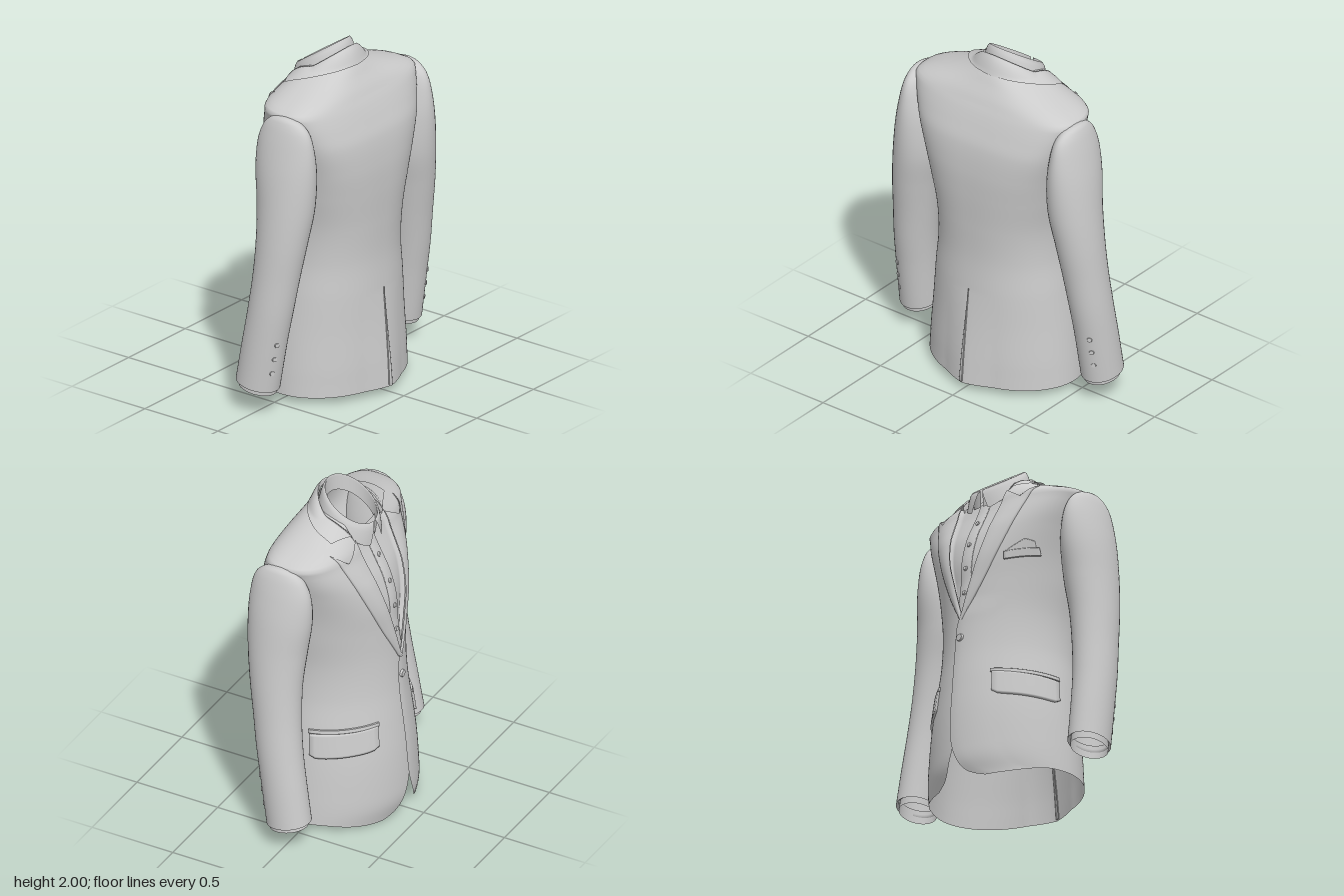
import * as THREE from 'three';
import { mergeVertices } from 'three/addons/utils/BufferGeometryUtils.js';

const cloth = new THREE.MeshStandardMaterial({ color: 0xcccccc, roughness: 0.9, side: THREE.DoubleSide });
const clamp = THREE.MathUtils.clamp;

// Smooth lookup in a table of [y, a, b, ...] rows
function sample(table, y) {
  let i = 0;
  while (i < table.length - 2 && y > table[i + 1][0]) i++;
  const p = table[i], q = table[i + 1], h = q[0] - p[0];
  const o = table[Math.max(i - 1, 0)], r = table[Math.min(i + 2, table.length - 1)];
  const s = clamp((y - p[0]) / h, 0, 1), s2 = s * s, s3 = s2 * s;
  return p.slice(1).map((a, k) => {
    const b = q[k + 1];
    const m0 = (b - o[k + 1]) / (q[0] - o[0]) * h, m1 = (r[k + 1] - a) / (r[0] - p[0]) * h;
    return (2 * s3 - 3 * s2 + 1) * a + (s3 - 2 * s2 + s) * m0 + (3 * s2 - 2 * s3) * b + (s3 - s2) * m1;
  });
}

// Surface from a rule f(u, v) -> [x, y, z]
function grid(nu, nv, f) {
  const pos = [], idx = [], w = nu + 1;
  for (let j = 0; j <= nv; j++) for (let i = 0; i <= nu; i++) pos.push(...f(i / nu, j / nv));
  for (let j = 0; j < nv; j++) for (let i = 0; i < nu; i++) {
    const a = j * w + i;
    idx.push(a, a + w, a + 1, a + 1, a + w, a + w + 1);
  }
  let g = new THREE.BufferGeometry();
  g.setAttribute('position', new THREE.Float32BufferAttribute(pos, 3));
  g.setIndex(idx);
  g = mergeVertices(g, 1e-4);
  g.computeVertexNormals();
  return g;
}

// Body sections: y, half width, back z, front z, z of widest point, front and back roundness
const BODY = [
  [0, 0.465, 0.385, -0.38, 0.02, 1.85, 1.95], [0.1, 0.458, 0.383, -0.408, 0.02, 1.85, 1.95],
  [0.2, 0.45, 0.38, -0.412, 0.02, 1.85, 1.97], [0.4, 0.43, 0.37, -0.402, 0.02, 1.85, 2.0],
  [0.6, 0.405, 0.36, -0.382, 0.03, 1.83, 2.1], [0.8, 0.377, 0.35, -0.36, 0.04, 1.8, 2.2],
  [1.0, 0.375, 0.355, -0.348, 0.05, 1.8, 2.35], [1.2, 0.405, 0.363, -0.345, 0.06, 1.8, 2.6],
  [1.35, 0.432, 0.362, -0.338, 0.07, 1.9, 2.9], [1.5, 0.47, 0.345, -0.295, 0.08, 2.2, 3.2],
  [1.6, 0.5, 0.312, -0.245, 0.08, 2.5, 3.3], [1.68, 0.524, 0.28, -0.205, 0.08, 2.6, 3.2],
  [1.72, 0.53, 0.26, -0.19, 0.08, 2.6, 3.0], [1.755, 0.46, 0.243, -0.175, 0.07, 2.4, 2.7],
  [1.79, 0.36, 0.222, -0.16, 0.05, 2.2, 2.5], [1.82, 0.28, 0.203, -0.145, 0.03, 2.1, 2.4],
  [1.85, 0.21, 0.186, -0.12, 0.01, 2.1, 2.3], [1.88, 0.15, 0.165, -0.07, 0, 2.1, 2.2],
];
// Front edges: y, x of +x panel, x of -x panel (which overlaps)
const EDGES = [
  [0, 0.17, -0.17], [0.03, 0.1, -0.09], [0.1, 0.05, -0.03], [0.25, 0, 0.02], [0.5, -0.02, 0.03],
  [0.93, -0.02, 0.03], [1.04, 0.01, -0.01], [1.2, 0.06, -0.06], [1.4, 0.12, -0.12],
  [1.6, 0.155, -0.155], [1.8, 0.165, -0.165], [1.88, 0.14, -0.14],
];

function surf(t, y, off = 0) {
  const [hw, zb, zf, zc, nf, nb] = sample(BODY, y);
  const c = Math.cos(t), s = Math.sin(t), e = 2 / (s < 0 ? nf : nb);
  const x = hw * Math.sign(c) * Math.abs(c) ** e;
  let z = zc + (s < 0 ? zf - zc : zb - zc) * Math.abs(s) ** e;
  // slight ridge along the back vent
  if (s > 0) z += 0.037 * Math.max(0, 1 - Math.abs(x) / 0.16) * clamp(1 - y / 0.6, 0, 1);
  return [x + off * c, y, z + off * s];
}
function frontZ(x, y) {
  const [hw, , zf, zc, nf] = sample(BODY, y);
  return zc - (zc - zf) * Math.max(0, 1 - Math.abs(x / hw) ** nf) ** (1 / nf);
}
function frontAngle(x, y) {
  const [hw, , , , nf] = sample(BODY, y);
  return -Math.acos(clamp(Math.sign(x) * Math.abs(x / hw) ** (nf / 2), -1, 1));
}
// Height of the shoulder surface above (x, z)
function shoulderY(x, z) {
  let lo = 1.4, hi = 1.88;
  for (let k = 0; k < 25; k++) {
    const y = (lo + hi) / 2, [hw, zb, zf, zc, nf, nb] = sample(BODY, y), n = z < zc ? nf : nb;
    const inside = Math.abs(x / hw) ** n + Math.abs((z - zc) / (z < zc ? zf - zc : zb - zc)) ** n < 1;
    if (inside) lo = y; else hi = y;
  }
  return lo;
}
// Raised panel with closed rim; f(u, v) -> [angle, y]
function panel(f, off, n = 14) {
  return grid(n, n, (u, v) => {
    const rim = u === 0 || u === 1 || v === 0 || v === 1;
    const [t, y] = f(clamp((u * n - 1) / (n - 2), 0, 1), clamp((v * n - 1) / (n - 2), 0, 1));
    return surf(t, y, rim ? -0.008 : off);
  });
}

// Sleeve sections: y, inner x, outer x, front z, back z
const SLEEVE = [
  [0.16, 0.515, 0.738, -0.14, 0.112], [0.4, 0.505, 0.73, -0.105, 0.152], [0.6, 0.49, 0.72, -0.075, 0.187],
  [0.8, 0.465, 0.705, -0.055, 0.217], [1.0, 0.435, 0.69, -0.05, 0.25], [1.2, 0.4, 0.67, -0.065, 0.278],
  [1.4, 0.4, 0.645, -0.09, 0.287], [1.55, 0.425, 0.615, -0.085, 0.275], [1.65, 0.455, 0.588, -0.05, 0.246],
  [1.7, 0.485, 0.568, 0, 0.195], [1.715, 0.505, 0.556, 0.045, 0.15], [1.722, 0.535, 0.535, 0.1, 0.1],
];
function sleevePoint(a, y, scale, drop = 0) {
  const [xi, xo, zf, zb] = sample(SLEEVE, y);
  const x = (xi + xo) / 2 + scale * (xo - xi) / 2 * Math.cos(a);
  const z = (zf + zb) / 2 + scale * (zb - zf) / 2 * Math.sin(a);
  return [x, y - drop - 0.17 * z * clamp(1 - (y - 0.16) / 0.3, 0, 1), z];
}

export function createModel() {
  const model = new THREE.Group();
  const add = (name, geo, mirror = false) => {
    const m = new THREE.Mesh(geo, cloth);
    m.name = name;
    if (mirror) m.scale.x = -1;
    model.add(m);
    return m;
  };
  const button = (name, r, p, dir) => {
    const m = add(name, new THREE.CylinderGeometry(r * 0.8, r, r * 0.7, 16));
    m.position.set(...p);
    m.quaternion.setFromUnitVectors(new THREE.Vector3(0, 1, 0), new THREE.Vector3(...dir).normalize());
  };

  // Jacket body, one sheet from front edge round the back to front edge
  add('jacketBody', grid(120, 110, (u, v) => {
    const y0 = 1.88 * v, [ea, eb] = sample(EDGES, y0);
    const ta = frontAngle(ea, y0), tb = frontAngle(eb, y0) + 2 * Math.PI;
    const t = ta + (tb - ta) * u;
    const y = y0 + 0.042 * THREE.MathUtils.smoothstep(Math.sin(t), -1, -0.3) * clamp(1 - y0 / 0.3, 0, 1);
    return surf(t, y, 0.01 * clamp((u - 0.9) / 0.08, 0, 1) * clamp((1.1 - y) / 0.1, 0, 1));
  }));

  // Peak lapels
  const outer = new THREE.CatmullRomCurve3([[0.01, 0.98], [0.13, 1.2], [0.25, 1.47], [0.35, 1.755]]
    .map(([x, y]) => new THREE.Vector3(x, y, 0)));
  const lapel = grid(18, 50, (u, v) => {
    const w = Math.min(u * 18 / 17, 1), o = outer.getPoint(v);
    const yi = 0.98 + 0.79 * v, xi = Math.max(sample(EDGES, yi)[0], -0.01) - 0.004;
    const x = xi + (o.x - xi) * w;
    const notch = 0.07 * v ** 14 * clamp(w < 0.65 ? w / 0.65 : (1 - w) / 0.35, 0, 1);
    const y = yi + (o.y - yi) * w - notch;
    const lift = u === 1 ? -0.002 : 0.008 + 0.008 * Math.sin(Math.PI * w);
    return [x, y, frontZ(x, y) - lift];
  });

  // Jacket collar: stand, fold and fall lines mirrored about the back
  const whole = pts => new THREE.CatmullRomCurve3([...pts.slice(1).reverse().map(([x, y, z]) => [-x, y, z]), ...pts]
    .map(p => new THREE.Vector3(...p)));
  const fold = whole([[0, 1.97, 0.13], [0.1, 1.945, 0.1], [0.172, 1.885, 0.02], [0.185, 1.83, -0.07], [0.17, 1.77, -0.15]]);
  const fall = whole([[0, 1.868, 0.18], [0.12, 1.858, 0.155], [0.22, 1.83, 0.085], [0.28, 1.79, 0], [0.298, 1.745, -0.09]]);
  add('jacketCollar', grid(64, 12, (u, v) => {
    const a = fold.getPoint(u), b = fall.getPoint(u), s = (v * 12 - 3) / 9;
    if (s < 0) return [a.x * (1 + 0.08 * s), a.y + 0.09 * s, a.z * (1 + 0.08 * s)];
    const p = a.clone().lerp(b, s), bulge = 0.016 * Math.sin(Math.PI * s);
    return [p.x, Math.max(p.y + bulge, shoulderY(p.x, p.z) + 0.012), p.z];
  }));

  // Shirt front, placket and buttons
  const shirtZ = (x, y) => frontZ(x, y) + 0.004 + 0.028 * clamp((y - 0.97) / 0.25, 0, 1);
  add('shirtFront', grid(16, 30, (u, v) => {
    const y = 0.95 + 0.82 * v, x = (2 * u - 1) * (Math.max(sample(EDGES, y)[0], 0) + 0.04);
    return [x, y, u === 0 || u === 1 ? frontZ(x, y) + 0.004 : shirtZ(x, y)];
  }));
  add('shirtPlacket', grid(4, 24, (u, v) => {
    const y = 1.02 + 0.72 * v, x = (clamp(u * 2 - 0.5, 0, 1) - 0.5) * 0.07;
    return [x, y, shirtZ(x, y) - (u === 0 || u === 1 ? 0 : 0.008)];
  }));
  for (const y of [1.15, 1.3, 1.45, 1.6]) button('shirtButton', 0.014, [0, y, shirtZ(0, y) - 0.011], [0, 0.2, -1]);

  // Shirt collar: inner stand and turned-down leaf with points at the front
  add('shirtCollar', grid(64, 12, (u, v) => {
    const a = (u - 0.5) * 2 * (Math.PI - 0.05), front = clamp(Math.abs(a) - 1.9, 0, 1.1) / 1.1;
    const s = v * 2 - 1;
    const r = s < 0 ? 0.142 + 0.006 * s : 0.142 + 0.036 * s ** 0.6 - 0.014 * s * front;
    const a2 = a * (1 - 0.1 * Math.max(s, 0) * front);
    const x = r * Math.sin(a2), z = -0.05 + r * Math.cos(a2);
    const top = 1.94 + 0.667 * (-0.05 + 0.142 * Math.cos(a));
    return [x, top - (s < 0 ? -0.1 * s : (0.1 + 0.025 * front) * s), z];
  }));

  // Back vent overlap, tapering upwards
  add('backVent', panel((u, v) => [Math.PI / 2 + 0.05 * u * (1 - v), 0.05 + 0.56 * v], 0.006));

  for (const mirror of [false, true]) {
    const side = mirror ? -1 : 1;
    add('lapel', lapel, mirror);

    // Sleeve and shirt cuff
    add('sleeve', grid(40, 70, (u, v) => {
      const y = 0.16 + 1.562 * (1 - (1 - v) ** 1.3);
      return sleevePoint(u * 2 * Math.PI, y, 1);
    }), mirror);
    add('sleeveHem', grid(40, 2, (u, v) => sleevePoint(u * 2 * Math.PI, 0.16 + 0.03 * v, 1 - 0.12 * Math.min(2 * v, 1))), mirror);
    add('shirtCuff', grid(40, 4, (u, v) => sleevePoint(u * 2 * Math.PI, 0.16 + 0.08 * v, 0.87, 0.027)), mirror);
    for (const y of [0.43, 0.345, 0.26]) {
      const p = sleevePoint(1.13, y, 1.0);
      button('sleeveButton', 0.016, [side * p[0], y, p[2]], [side * 0.45, 0, 0.9]);
    }

    // Hip pocket flap and welt
    const turn = t => (mirror ? Math.PI - t : t);
    add('pocketFlap', panel((u, v) => {
      const corner = 0.02 * Math.abs(2 * u - 1) ** 10 * (1 - v);
      return [turn(-0.14 - 0.9 * u), 0.455 + 0.03 * u + 0.14 * v + corner];
    }, 0.012));
    add('pocketWelt', panel((u, v) => [turn(-0.12 - 0.94 * u), 0.602 + 0.02 * u + 0.022 * v], 0.009));
  }

  // Breast pocket with folded square, on the -x side
  const chest = (x, y) => [frontAngle(x, y), y];
  add('breastPocket', panel((u, v) => chest(-0.23 - 0.14 * u, 1.3 + 0.025 * u + 0.045 * v), 0.008));
  add('pocketSquare', panel((u, v) => {
    const peak = 0.05 * (1 - Math.abs(u - 0.7) / 0.7);
    return chest(-0.24 - 0.12 * u, 1.33 + 0.025 * u + (0.02 + peak) * v);
  }, 0.006));

  // Front button
  button('frontButton', 0.024, [0, 0.87, frontZ(0, 0.87) - 0.012], [0, 0, -1]);
  return model;
}
